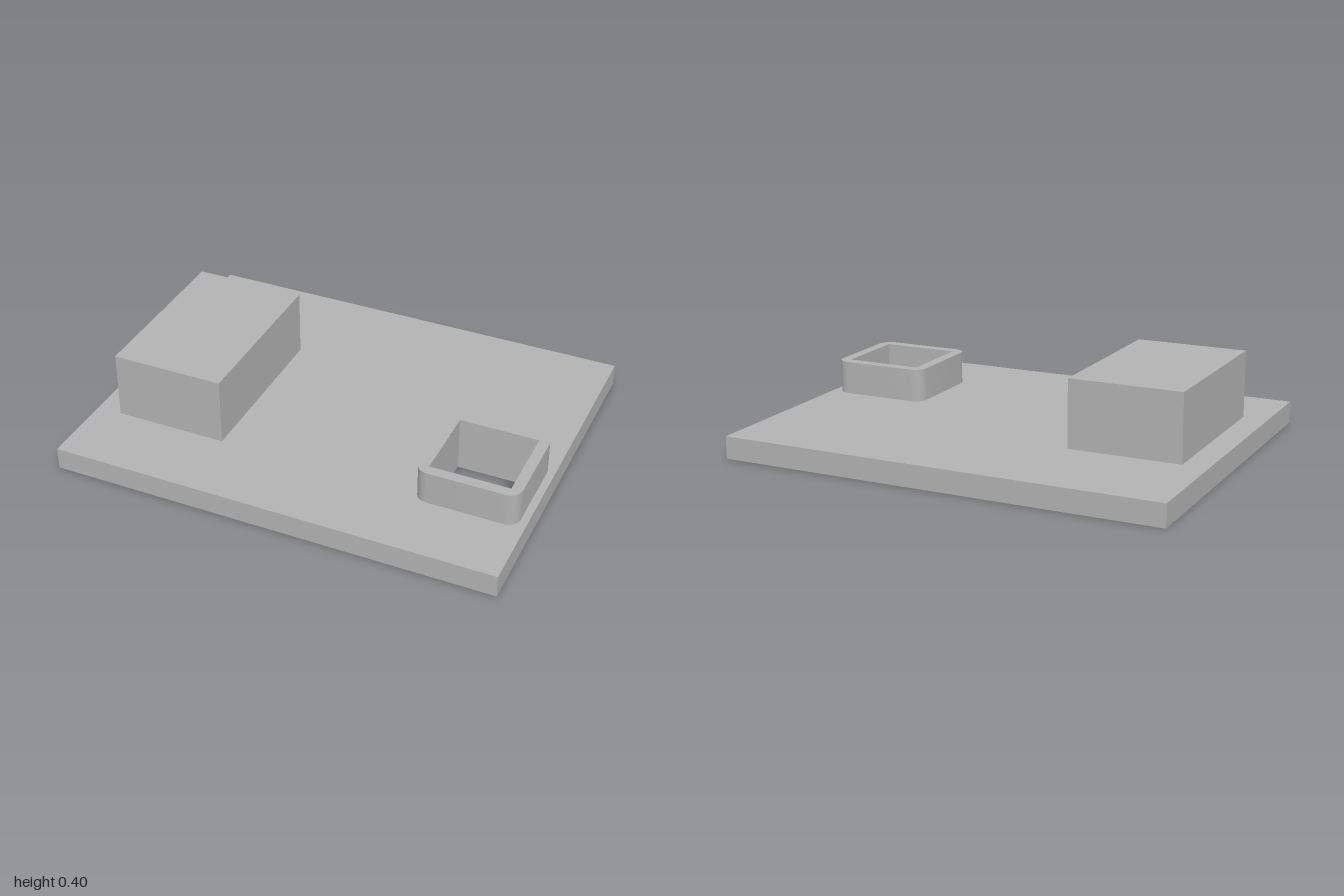
import * as THREE from 'three';
import { toCreasedNormals } from 'three/addons/utils/BufferGeometryUtils.js';

const PLATE = { w: 2, d: 1.594, h: 0.1 };
const SOCKET = { x: 0.743, z: 0.263, outer: 0.447, inner: 0.352, radius: 0.055, top: 0.25 };

// Rectangle outline with optional rounded corners; plan y is -z
function outline(path, cx, cz, w, d, r = 0) {
  const x = w / 2, y = d / 2, cy = -cz;
  if (r === 0) {
    path.setFromPoints([[-x, -y], [x, -y], [x, y], [-x, y]]
      .map(([px, py]) => new THREE.Vector2(cx + px, cy + py)));
    path.closePath();
    return path;
  }
  const q = Math.PI / 2;
  [[x, -y, -q], [x, y, 0], [-x, y, q], [-x, -y, 2 * q]].forEach(([px, py, a]) =>
    path.absarc(cx + px - Math.sign(px) * r, cy + py - Math.sign(py) * r, r, a, a + q, false));
  path.closePath();
  return path;
}

// Raises a plan shape, pierced by the socket opening, from y0 to y1
function pierced(shape, y0, y1) {
  shape.holes.push(outline(new THREE.Path(), SOCKET.x, SOCKET.z, SOCKET.inner, SOCKET.inner));
  const geo = new THREE.ExtrudeGeometry(shape, { depth: y1 - y0, bevelEnabled: false, curveSegments: 10 });
  geo.rotateX(-Math.PI / 2).translate(0, y0, 0);
  return toCreasedNormals(geo, Math.PI / 6);
}

export function createModel() {
  const group = new THREE.Group();
  const grey = new THREE.MeshStandardMaterial({ color: 0xb2b2b2 });
  grey.name = 'grey';

  const add = (name, geometry) => {
    const mesh = new THREE.Mesh(geometry, grey);
    mesh.name = name;
    group.add(mesh);
    return mesh;
  };

  // Flat base with a square through-hole
  add('basePlate', pierced(outline(new THREE.Shape(), 0, 0, PLATE.w, PLATE.d), 0, PLATE.h));

  // Rounded collar around the hole
  add('squareCollar', pierced(
    outline(new THREE.Shape(), SOCKET.x, SOCKET.z, SOCKET.outer, SOCKET.outer, SOCKET.radius),
    PLATE.h, SOCKET.top));

  // Solid block standing on the plate
  add('block', new THREE.BoxGeometry(0.505, 0.302, 0.784)).position.set(-0.634, PLATE.h + 0.151, 0.067);

  return group;
}
